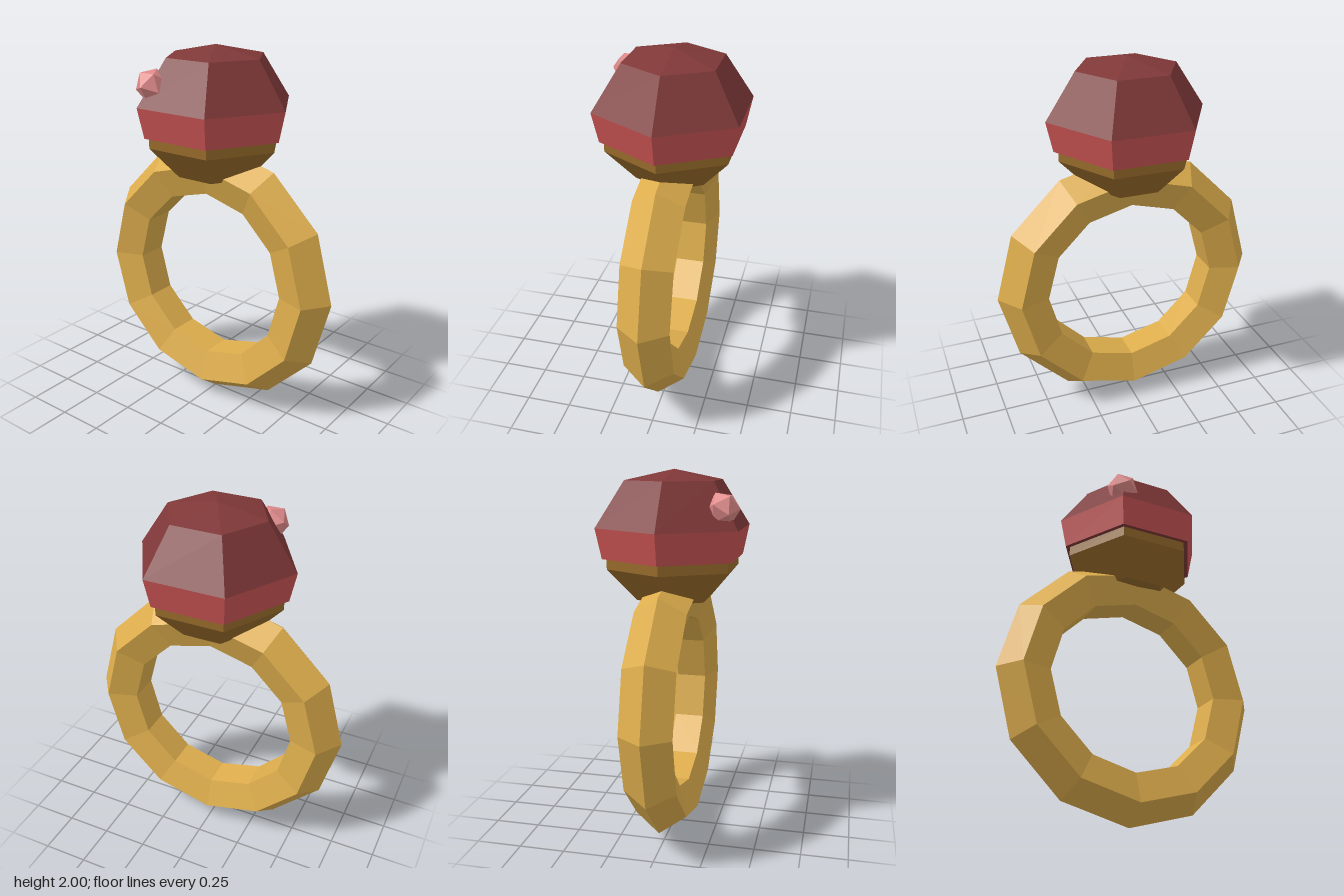
import * as THREE from 'three';

const flat = (color, name) => {
  const m = new THREE.MeshStandardMaterial({ color, flatShading: true });
  m.name = name;
  return m;
};

export function createModel() {
  const gold = flat(0xddad4c, 'gold');
  const bronze = flat(0x966a2a, 'bronze');
  const darkRed = flat(0x803838, 'dark red');
  const brightRed = flat(0xc85252, 'bright red');
  const pink = flat(0xe08a8a, 'pink');

  const group = new THREE.Group();
  group.name = 'gemRing';
  const add = (name, geometry, material, x, y, z) => {
    const mesh = new THREE.Mesh(geometry, material);
    mesh.name = name;
    mesh.position.set(x, y, z);
    group.add(mesh);
    return mesh;
  };
  // six-sided tier with corners on the x axis, from height y0 to y1
  const tier = (name, r0, y0, r1, y1, material) =>
    add(name, new THREE.CylinderGeometry(r1, r0, y1 - y0, 6, 1, false, Math.PI / 2),
      material, 0, (y0 + y1) / 2, 0);

  // band: five-sided section swept in twelve steps
  add('band', new THREE.TorusGeometry(0.597, 0.145, 5, 12), gold, 0, 0.743, 0);

  // setting cup and its rim
  tier('settingCup', 0.21, 1.32, 0.37, 1.49, bronze);
  tier('settingRim', 0.37, 1.49, 0.37, 1.545, bronze);

  // gem: girdle, crown and shallow pointed top
  const girdle = tier('gemGirdle', 0.395, 1.545, 0.43, 1.705, brightRed);
  girdle.material = [brightRed, brightRed, darkRed];
  tier('gemCrown', 0.43, 1.705, 0.27, 1.945, darkRed);
  tier('gemTop', 0.27, 1.945, 0, 2.0, darkRed);

  // small glint stone set into the crown
  const glint = add('glintStone', new THREE.IcosahedronGeometry(0.088, 0), pink, -0.18, 1.812, 0.29);
  glint.rotation.x = 0.55;

  return group;
}
